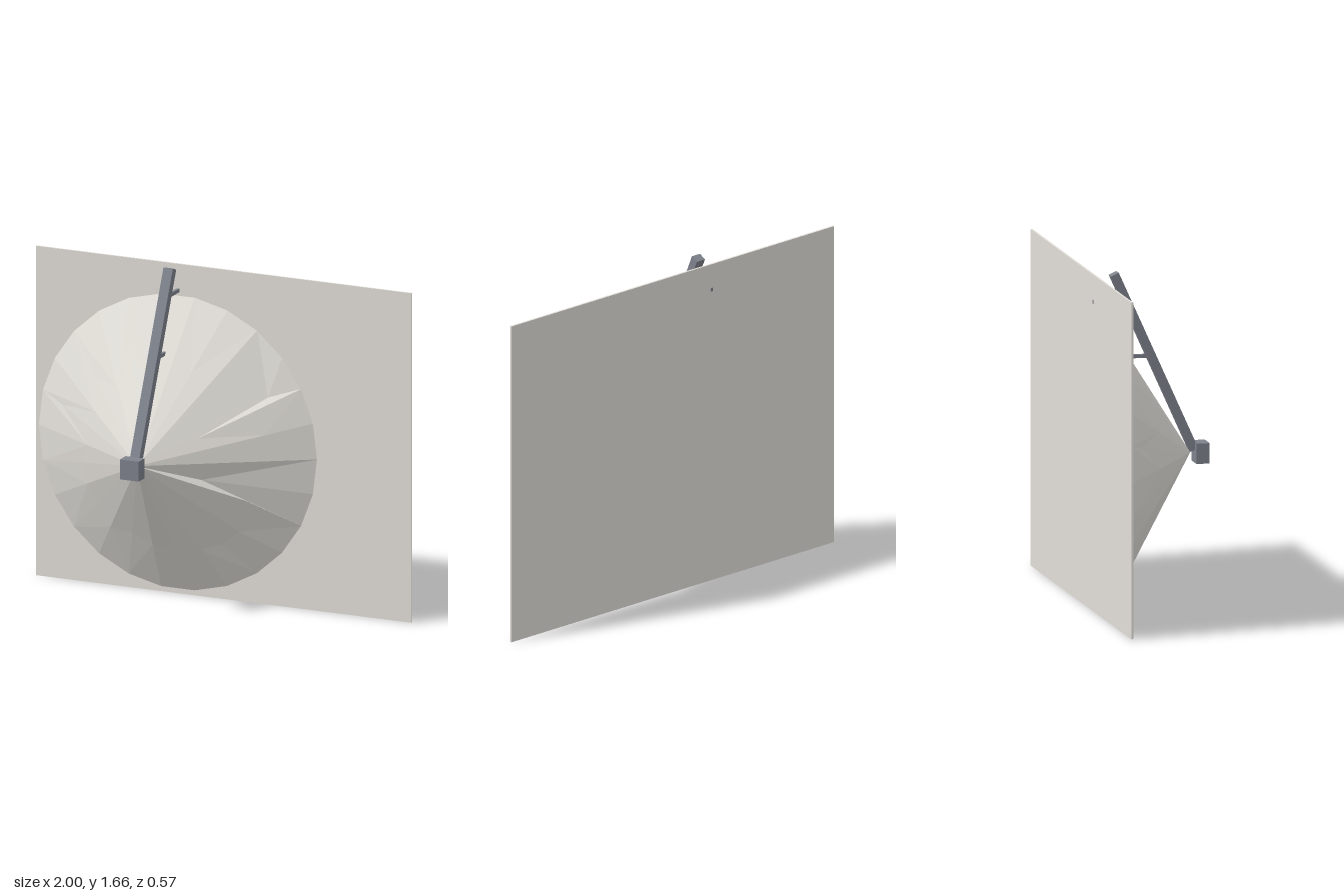
import * as THREE from 'three';

export function createModel() {
  const model = new THREE.Group();
  const stone = new THREE.MeshStandardMaterial({ color: 0xe2dfd9, flatShading: true });
  stone.name = 'pale stone';
  const steel = new THREE.MeshStandardMaterial({ color: 0x7e828c, flatShading: true });
  steel.name = 'grey steel';

  function box(name, mat, w, h, d, x, y, z) {
    const mesh = new THREE.Mesh(new THREE.BoxGeometry(w, h, d), mat);
    mesh.name = name;
    mesh.position.set(x, y, z);
    model.add(mesh);
    return mesh;
  }

  const cx = -0.243, cy = 0.76, tipZ = 0.2, baseZ = -0.275, R = 0.742;

  // Flat slab that carries the heap
  box('baseSlab', stone, 2, 1.655, 0.01, 0, 0.8275, -0.279);

  // Heap: irregular facets from tip to bend to an even 26-sided rim.
  // Each spoke: turn of the bend in degrees, bend position (0 tip - 1 rim), dent depth
  const spokes = [
    [0, 0.7, 0], [0, 0.73, 0], [-1, 0.36, 0.01], [-11, 0.8, 0.025],
    [0, 0.75, 0], [0, 0.6, 0.004], [0, 0.75, 0], [0, 0.5, 0],
    [0, 0.7, 0.004], [0, 0.5, 0], [0, 0.65, 0.006], [0, 0.5, 0],
    [0, 0.8, 0.006], [0, 0.5, 0], [0, 0.6, 0.004], [0, 0.6, 0],
    [0, 0.6, 0.008], [0, 0.7, 0], [0, 0.62, 0.006], [0, 0.65, 0],
    [0, 0.68, 0.005], [0, 0.7, 0.01], [-2, 0.72, 0.02], [-3, 0.72, 0.012],
    [3, 0.65, 0], [-6, 0.36, 0.03],
  ];
  const step = 360 / spokes.length;
  const tip = [cx, cy, tipZ];
  const at = (deg, r, z) => {
    const a = deg * Math.PI / 180;
    return [cx + r * Math.cos(a), cy + r * Math.sin(a), z];
  };
  const rim = spokes.map((s, i) => at(i * step, R, baseZ));
  const bend = spokes.map(([turn, f, dent], i) =>
    at(i * step + turn, R * f, tipZ + (baseZ - tipZ) * f - dent));
  const pos = [];
  for (let i = 0; i < spokes.length; i++) {
    const j = (i + 1) % spokes.length;
    pos.push(...tip, ...bend[i], ...bend[j]);
    if (i % 2) pos.push(...bend[i], ...rim[i], ...rim[j], ...bend[i], ...rim[j], ...bend[j]);
    else pos.push(...bend[i], ...rim[i], ...bend[j], ...bend[j], ...rim[i], ...rim[j]);
  }
  const heapGeo = new THREE.BufferGeometry();
  heapGeo.setAttribute('position', new THREE.Float32BufferAttribute(pos, 3));
  heapGeo.computeVertexNormals();
  const heap = new THREE.Mesh(heapGeo, stone);
  heap.name = 'heap';
  model.add(heap);

  // Sloping boom along the heap
  const low = new THREE.Vector3(cx, 0.775, 0.215), high = new THREE.Vector3(cx, 1.655, -0.181);
  const mid = low.clone().add(high).multiplyScalar(0.5);
  const boom = box('boom', steel, 0.05, low.distanceTo(high), 0.042, mid.x, mid.y, mid.z);
  boom.rotation.x = Math.atan2(high.z - low.z, high.y - low.y);

  // Block at the boom's end
  box('headBlock', steel, 0.1, 0.1, 0.066, cx, 0.76, 0.252);

  // Props between boom and slab
  box('upperProp', steel, 0.014, 0.018, 0.165, cx, 1.522, -0.2025);
  box('lowerProp', steel, 0.014, 0.018, 0.13, cx, 1.245, -0.058);

  return model;
}
